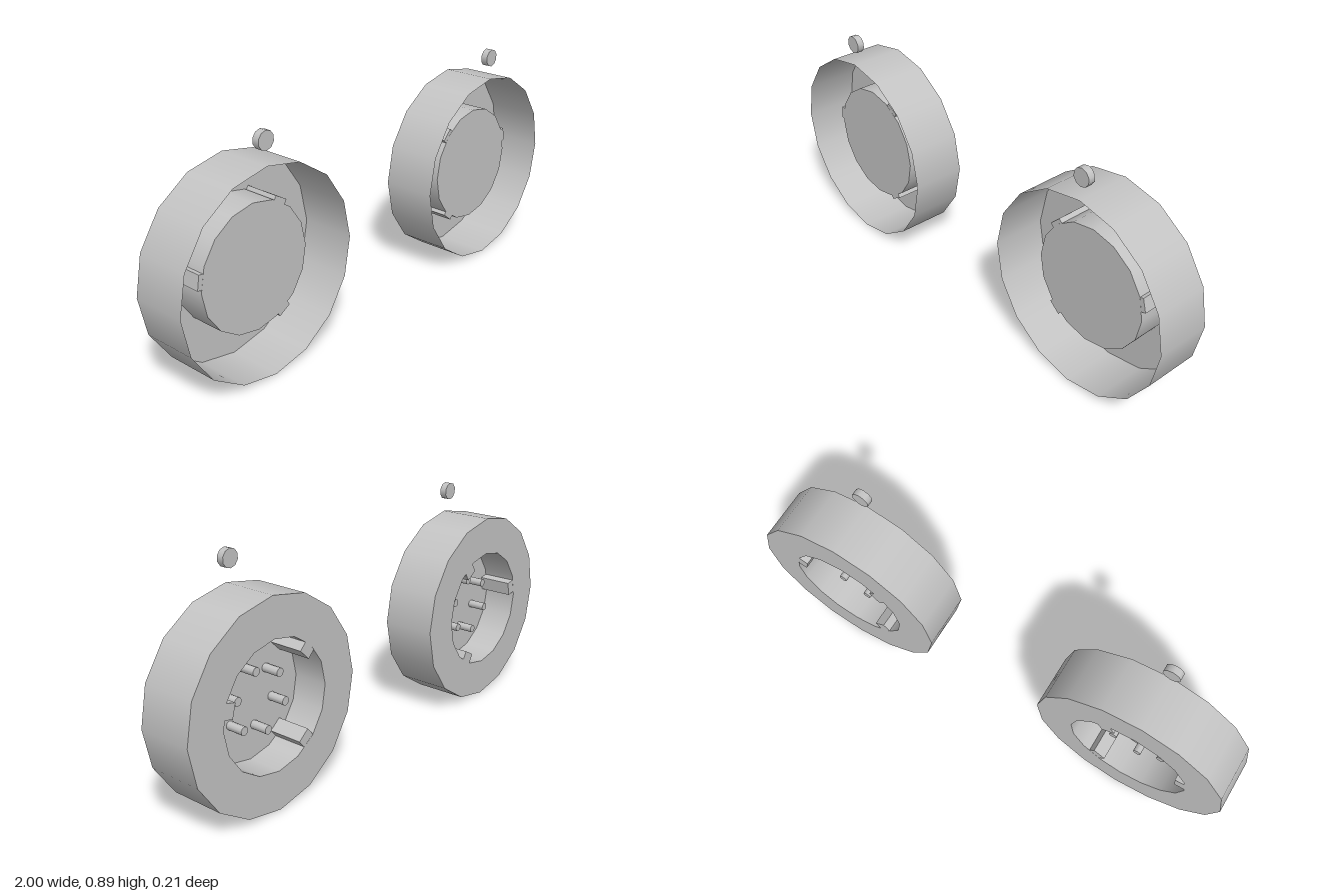
import * as THREE from 'three';

const R = 0.383, HOLE = 0.236, SIDES = 16;
const FRONT = 0.106, BACK = -0.106, FLOOR = 0.03;

export function createModel() {
  const model = new THREE.Group();
  model.name = 'socketPair';
  const grey = new THREE.MeshStandardMaterial({ color: 0xc4c4c4, side: THREE.DoubleSide });
  grey.name = 'light grey';

  const add = (parent, name, geometry, x = 0, y = 0, z = 0) => {
    const mesh = new THREE.Mesh(geometry, grey);
    mesh.name = name;
    mesh.position.set(x, y, z);
    parent.add(mesh);
    return mesh;
  };
  // cylinder lying along z
  const rod = (r, length, sides, open) =>
    new THREE.CylinderGeometry(r, r, length, sides, 1, open).rotateX(Math.PI / 2);

  function socket(name, x, keyAngles) {
    const g = new THREE.Group();
    g.name = name;
    g.position.set(x, R, 0);
    model.add(g);

    // thin open shell with a back rim and a cup sunk in from behind
    add(g, 'outerWall', rod(R, FRONT - BACK, SIDES, true));
    add(g, 'backRim', new THREE.RingGeometry(HOLE, R, SIDES).rotateY(Math.PI), 0, 0, BACK);
    add(g, 'cupWall', rod(HOLE, FLOOR - BACK, SIDES, true), 0, 0, (FLOOR + BACK) / 2);
    add(g, 'cupFloor', new THREE.CircleGeometry(HOLE, SIDES), 0, 0, FLOOR);

    // keys cutting through the cup wall
    const keyIn = 0.195, keyOut = 0.249, keyLength = FLOOR - BACK - 0.001;
    for (const deg of keyAngles) {
      const geo = new THREE.BoxGeometry(keyOut - keyIn, 0.055, keyLength);
      geo.translate((keyIn + keyOut) / 2, 0, (FLOOR + BACK) / 2);
      add(g, 'key', geo).rotation.z = THREE.MathUtils.degToRad(deg);
    }

    // six contact pins pointing backwards from the floor
    for (let i = 0; i < 6; i++) {
      const a = THREE.MathUtils.degToRad(19 + i * 60);
      add(g, 'pin', rod(0.016, 0.07, 10, false),
        0.115 * Math.cos(a), 0.115 * Math.sin(a), FLOOR - 0.035);
    }

    // small marker disc above the socket
    add(g, 'markerDot', rod(0.034, 0.027, 10, false), 0, 0.852 - R, FRONT - 0.0135);
  }

  socket('leftSocket', 0.617, [16, 135, 231]);
  socket('rightSocket', -0.617, [59, 170, 300]);
  return model;
}
